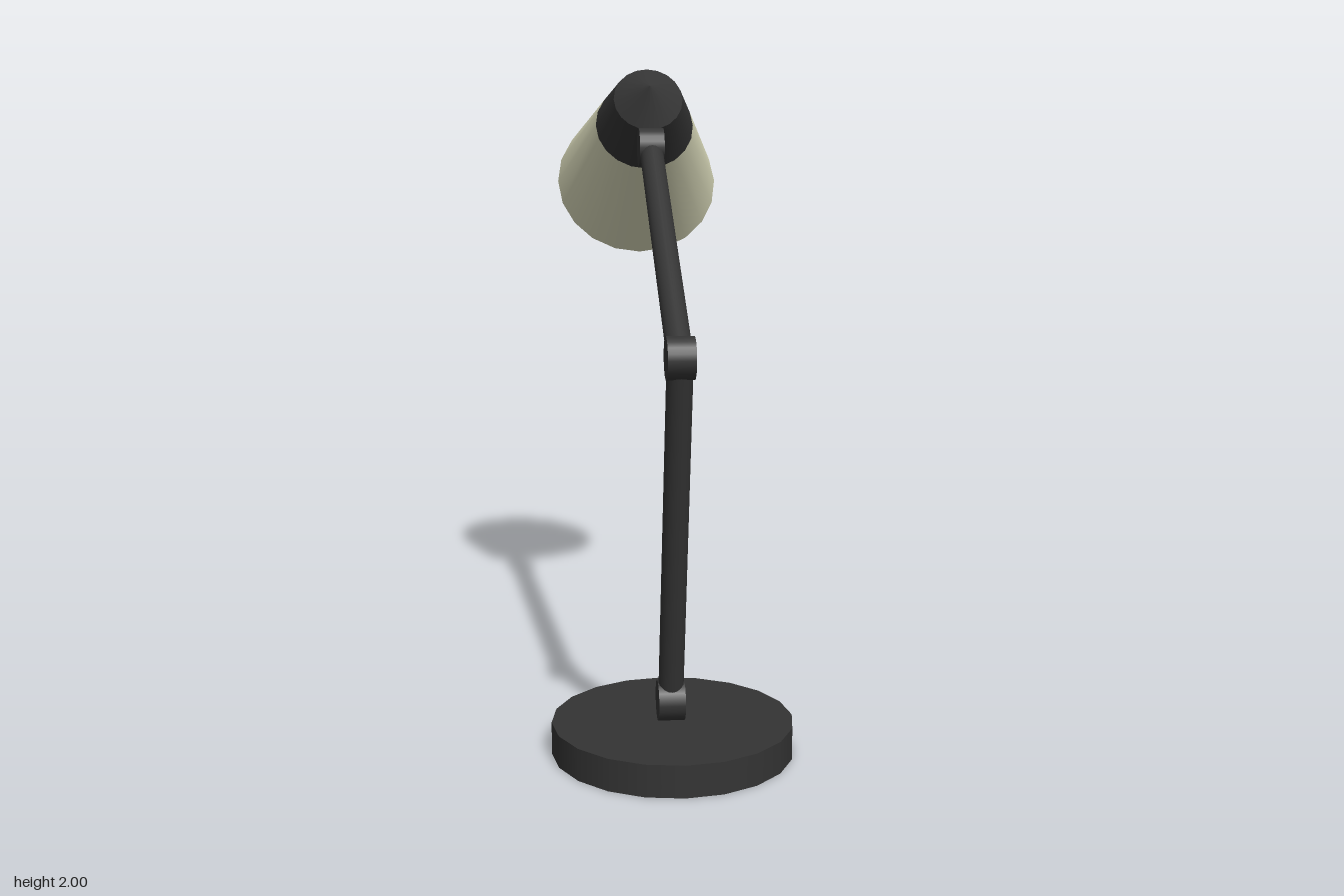
import * as THREE from 'three';

export function createModel() {
  const dark = new THREE.MeshStandardMaterial({ color: 0x343434 });
  dark.name = 'charcoal';
  const cream = new THREE.MeshStandardMaterial({ color: 0xdcdcbc });
  cream.name = 'cream';

  const lamp = new THREE.Group();
  lamp.name = 'deskLamp';

  const add = (parent, name, geometry, material) => {
    const mesh = new THREE.Mesh(geometry, material);
    mesh.name = name;
    parent.add(mesh);
    return mesh;
  };

  // Round foot
  add(lamp, 'base', new THREE.CylinderGeometry(0.356, 0.356, 0.095, 20), dark)
    .position.set(0, 0.0475, 0.5);

  // Jointed arm: three pivots linked by two rods
  const arm = new THREE.Group();
  arm.name = 'arm';
  arm.position.x = -0.006;
  lamp.add(arm);

  const pivots = [
    new THREE.Vector3(0, 0.156, 0.506),
    new THREE.Vector3(0, 1.206, 0.746),
    new THREE.Vector3(0, 1.751, -0.143),
  ];
  ['baseJoint', 'elbowJoint', 'headJoint'].forEach((name, i) => {
    const joint = add(arm, name, new THREE.CylinderGeometry(0.06, 0.06, 0.078, 20), dark);
    joint.rotation.z = Math.PI / 2;
    joint.position.copy(pivots[i]);
  });
  ['lowerArm', 'upperArm'].forEach((name, i) => {
    const from = pivots[i];
    const span = pivots[i + 1].clone().sub(from);
    const rod = add(arm, name, new THREE.CylinderGeometry(0.037, 0.037, span.length(), 20), dark);
    rod.position.copy(from).addScaledVector(span, 0.5);
    rod.quaternion.setFromUnitVectors(new THREE.Vector3(0, 1, 0), span.normalize());
  });

  // Head: local +y points out of the shade, origin where housing meets shade
  const head = new THREE.Group();
  head.name = 'head';
  head.position.set(-0.006, 1.818, -0.38);
  head.rotation.x = THREE.MathUtils.degToRad(-120.2);
  lamp.add(head);

  // Each band is its own surface, so the edges between bands stay sharp
  const band = (name, r0, y0, r1, y1, material) => add(head, name,
    new THREE.LatheGeometry([new THREE.Vector2(r0, y0), new THREE.Vector2(r1, y1)], 20), material);

  band('housingCap', 0, -0.248, 0.111, -0.1645, dark);
  band('housing', 0.111, -0.1645, 0.161, 0, dark);
  band('housingFace', 0.155, 0.002, 0, 0.002, dark);
  band('shadeOuter', 0.161, 0, 0.276, 0.388, cream);
  band('shadeRim', 0.276, 0.388, 0.262, 0.388, cream);
  band('shadeInner', 0.262, 0.388, 0.146, 0, cream);

  return lamp;
}
